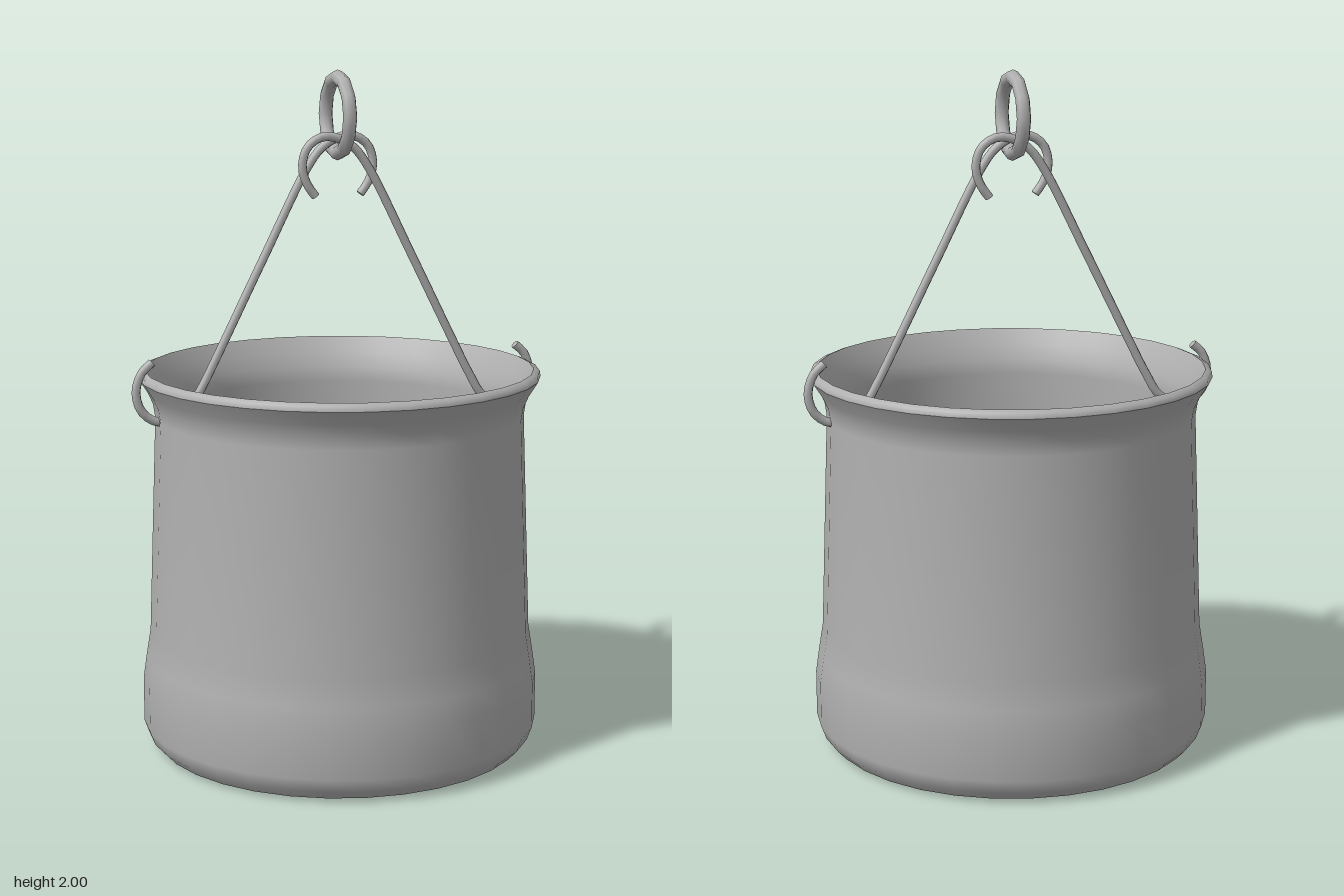
import * as THREE from 'three';

const v2 = ([x, y]) => new THREE.Vector2(x, y);

export function createModel() {
  const model = new THREE.Group();
  model.name = 'bucket';
  const metal = new THREE.MeshStandardMaterial({ color: 0xb0b0b0 });
  metal.name = 'grey metal';

  const add = (name, geometry, parent = model) => {
    const mesh = new THREE.Mesh(geometry, metal);
    mesh.name = name;
    parent.add(mesh);
    return mesh;
  };
  const SIDES = 32;
  const lathe = (points) => new THREE.LatheGeometry(points.map(v2), SIDES);

  // Hollow body: outer wall, rim edge and inner wall, listed so faces point outward
  const pot = new THREE.Group();
  pot.name = 'pot';
  model.add(pot);
  add('outerWall', lathe([
    [0.55, 0.008], [0.575, 0.035], [0.59, 0.075], [0.59, 0.21], [0.58, 0.28], [0.567, 0.36],
    [0.555, 0.68], [0.543, 1.0], [0.549, 1.04], [0.565, 1.075], [0.59, 1.115],
  ]), pot);
  add('rimEdge', lathe([[0.59, 1.115], [0.588, 1.13], [0.57, 1.137]]), pot);
  add('innerWall', lathe([
    [0.57, 1.137], [0.543, 1.09], [0.526, 1.045], [0.516, 1.0], [0.528, 0.68],
    [0.54, 0.36], [0.555, 0.21], [0.55, 0.11], [0.52, 0.065], [0.43, 0.03],
  ]), pot);

  // Floor and underside
  const floor = add('floor', new THREE.CircleGeometry(0.43, SIDES), pot);
  floor.rotation.x = -Math.PI / 2;
  floor.position.y = 0.03;
  add('underside', lathe([[0, 0], [0.53, 0.002], [0.55, 0.008]]), pot);

  // Handle rod: outer hook, through the wall, up to the ring and over it
  const rodPoints = [
    [0.558, 1.175], [0.59, 1.145], [0.607, 1.09], [0.592, 1.035], [0.553, 1.003],
    [0.51, 1.0], [0.455, 1.025], [0.41, 1.095], [0.36, 1.19], [0.22, 1.465], [0.09, 1.715],
    [0.045, 1.775], [-0.005, 1.805], [-0.055, 1.81], [-0.1, 1.78],
    [-0.115, 1.725], [-0.1, 1.675], [-0.075, 1.64],
  ];
  const R = 0.013;
  for (const [side, z, name] of [[1, 0.007, 'leftRod'], [-1, -0.032, 'rightRod']]) {
    const rod = new THREE.Group();
    rod.name = name;
    model.add(rod);
    const path = new THREE.CatmullRomCurve3(
      rodPoints.map(([x, y]) => new THREE.Vector3(side * x, y, z)));
    add('rod', new THREE.TubeGeometry(path, 72, R, 8), rod);
    // End caps facing along the rod
    for (const t of [0, 1]) {
      const cap = add('rodEnd', new THREE.CircleGeometry(R, 8), rod);
      const dir = path.getTangentAt(t).multiplyScalar(t ? 1 : -1);
      cap.position.copy(path.getPointAt(t));
      cap.quaternion.setFromUnitVectors(new THREE.Vector3(0, 0, 1), dir);
    }
  }

  // Lifting ring, edge-on from the front
  const ring = add('liftingRing', new THREE.TorusGeometry(0.109, 0.021, 8, 12));
  ring.rotation.y = Math.PI / 2;
  ring.position.set(0, 1.87, -0.015);

  return model;
}
